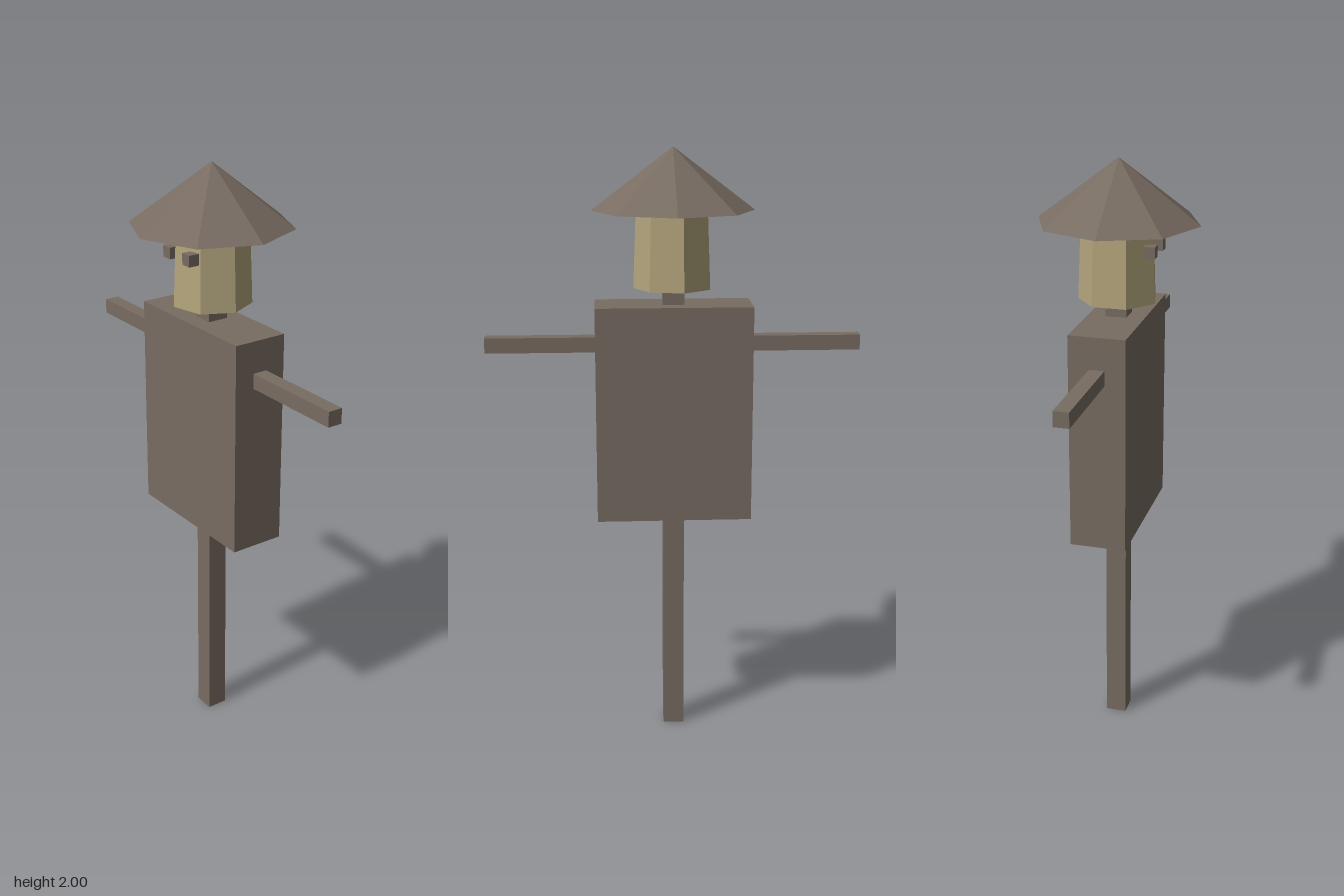
import * as THREE from 'three';

export function createModel() {
  const model = new THREE.Group();
  model.name = 'scarecrow';

  const wood = new THREE.MeshStandardMaterial({ color: 0x786c62, flatShading: true });
  wood.name = 'weathered brown';
  const straw = new THREE.MeshStandardMaterial({ color: 0xb3a57c, flatShading: true });
  straw.name = 'straw';

  const add = (name, geometry, material, x, y, z) => {
    const mesh = new THREE.Mesh(geometry, material);
    mesh.name = name;
    mesh.position.set(x, y, z);
    model.add(mesh);
    return mesh;
  };

  // Upright post, running through the body to the head
  add('post', new THREE.BoxGeometry(0.07, 1.56, 0.07), wood, 0, 0.78, 0);

  // Square body and the crossbar that forms the arms
  add('body', new THREE.BoxGeometry(0.515, 0.72, 0.186), wood, 0, 1.138, 0);
  add('arms', new THREE.BoxGeometry(1.237, 0.05, 0.05), wood, 0, 1.367, 0);

  // Seven-sided tapered head, one corner towards +x
  add('head', new THREE.CylinderGeometry(0.12, 0.13, 0.26, 7, 1, false, Math.PI / 2), straw, 0, 1.68, 0);

  // Eyes
  for (const [name, side] of [['leftEye', 1], ['rightEye', -1]]) {
    add(name, new THREE.BoxGeometry(0.037, 0.037, 0.037), wood, side * 0.0525, 1.724, 0.117);
  }

  // Eight-sided hat
  add('hat', new THREE.ConeGeometry(0.265, 0.2, 8), wood, 0, 1.9, 0);

  return model;
}
